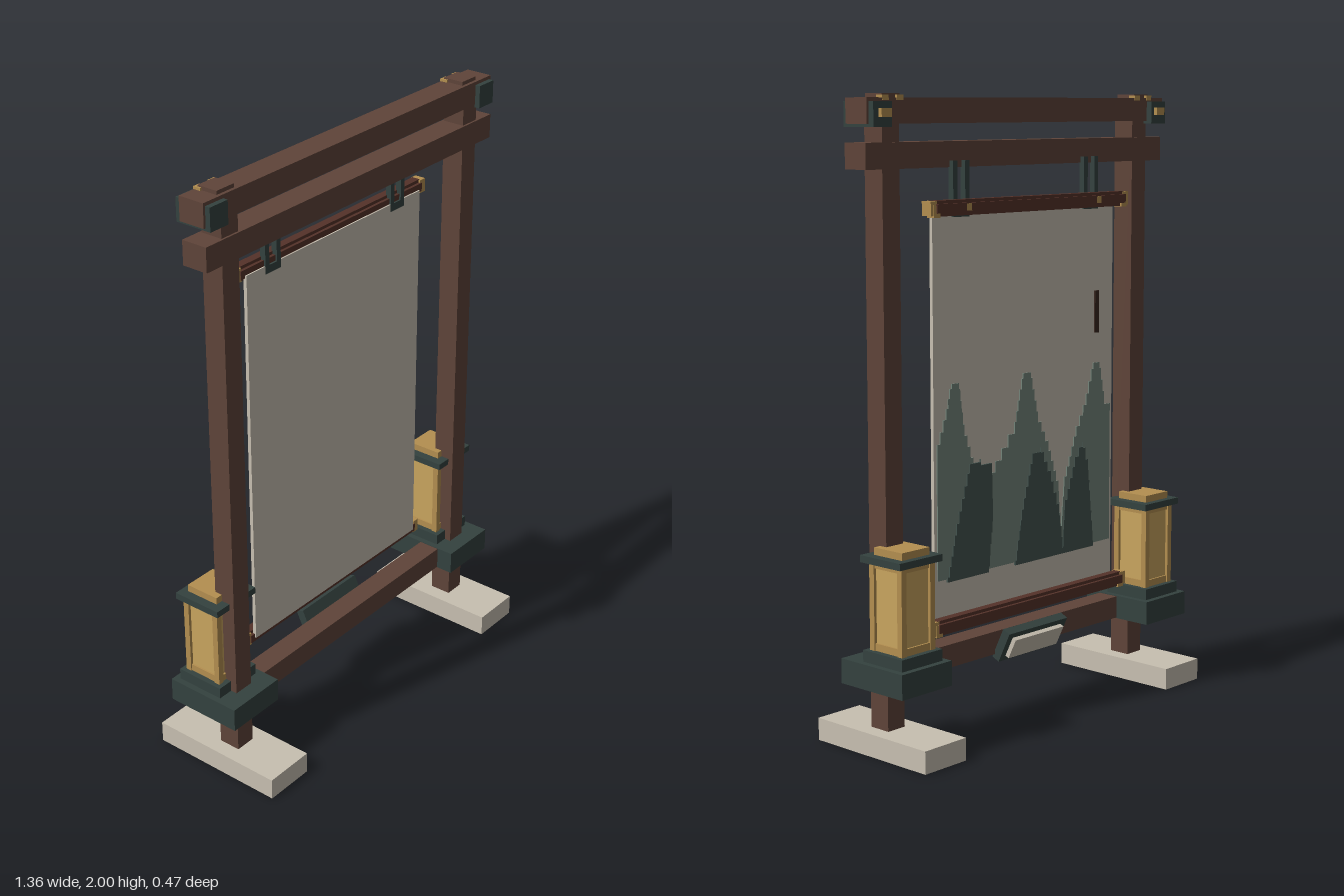
import * as THREE from 'three';

const mat = (name, color) => {
  const m = new THREE.MeshStandardMaterial({ color });
  m.name = name;
  return m;
};

export function createModel() {
  const root = new THREE.Group();
  root.name = 'hangingScrollFrame';

  const wood = mat('brown wood', 0x5f4439);
  const rollerWood = mat('dark red wood', 0x553229);
  const iron = mat('dark iron', 0x34423f);
  const brass = mat('brass', 0xb48f50);
  const glow = mat('lantern pane', 0xc9a55f);
  const paper = mat('paper and stone', 0xc8c0b1);
  const hill = mat('pale hill ink', 0x74857b);
  const darkHill = mat('dark hill ink', 0x43534f);
  const ink = mat('dark ink', 0x38261f);

  // Box given by its extents on each axis
  const box = (name, m, x0, x1, y0, y1, z0, z1, parent = root) => {
    const mesh = new THREE.Mesh(new THREE.BoxGeometry(x1 - x0, y1 - y0, z1 - z0), m);
    mesh.position.set((x0 + x1) / 2, (y0 + y1) / 2, (z0 + z1) / 2);
    mesh.name = name;
    parent.add(mesh);
    return mesh;
  };
  // Box centred on cx with half width hx, for mirrored parts
  const cbox = (name, m, cx, hx, y0, y1, z0, z1, parent = root) =>
    box(name, m, cx - hx, cx + hx, y0, y1, z0, z1, parent);

  // Beams
  cbox('topBeam', wood, 0, 0.682, 1.912, 1.988, -0.038, 0.052);
  cbox('lowerBeam', wood, 0, 0.682, 1.78, 1.858, -0.032, 0.057);
  cbox('bottomRail', wood, 0, 0.56, 0.218, 0.293, -0.03, 0.045);

  // Lantern with corner posts, rails and inset panes
  const lantern = (cx) => {
    const g = new THREE.Group();
    g.name = 'lantern';
    g.position.set(cx, 0, -0.058);
    cbox('lanternFoot', iron, 0, 0.085, 0.293, 0.332, -0.085, 0.085, g);
    cbox('lanternPanes', glow, 0, 0.06, 0.332, 0.605, -0.06, 0.06, g);
    for (const sx of [-1, 1]) for (const sz of [-1, 1]) {
      const px = sx * 0.06, pz = sz * 0.06;
      cbox('lanternPost', brass, px, 0.01, 0.332, 0.605, pz - 0.01, pz + 0.01, g);
    }
    for (const [y0, y1] of [[0.332, 0.355], [0.588, 0.605]]) {
      cbox('lanternRim', brass, 0, 0.066, y0, y1, -0.066, 0.066, g);
    }
    cbox('lanternRoof', iron, 0, 0.089, 0.605, 0.627, -0.083, 0.09, g);
    cbox('lanternCap', brass, 0, 0.058, 0.627, 0.65, -0.06, 0.06, g);
    root.add(g);
  };

  for (const s of [-1, 1]) {
    // Post, foot and base
    cbox('post', wood, s * 0.575, 0.035, 0.05, 1.95, -0.025, 0.05);
    cbox('foot', paper, s * 0.575, 0.087, 0, 0.072, -0.238, 0.236);
    cbox('base', iron, s * 0.577, 0.105, 0.216, 0.295, -0.163, 0.104);
    lantern(s * 0.577);

    // Joinery at the beam ends
    cbox('endBracket', iron, s * 0.637, 0.037, 1.903, 1.977, -0.058, 0.069);
    cbox('bracketPin', brass, s * 0.633, 0.02, 1.932, 1.957, -0.071, -0.05);
    cbox('postCap', wood, s * 0.578, 0.036, 1.98, 2.0, -0.03, 0.041);
    for (const o of [-0.03, 0.03]) {
      cbox('capPeg', brass, s * 0.578 + o, 0.013, 1.98, 1.996, -0.04, -0.014);
    }

    // U-shaped hanger with a brass pin
    const hx = s * 0.303;
    for (const o of [-0.026, 0.026]) {
      cbox('hangerArm', iron, hx + o, 0.009, 1.63, 1.80, -0.048, -0.028);
    }
    cbox('hangerHook', iron, hx, 0.035, 1.63, 1.655, -0.048, -0.028);
    cbox('hangerPin', brass, hx, 0.011, 1.65, 1.672, -0.083, -0.06);
  }

  // Rollers: stepped bars with brass ends
  const roller = (name, y, z) => {
    cbox(name, rollerWood, 0, 0.44, y - 0.014, y + 0.014, z - 0.024, z + 0.024);
    cbox(name, rollerWood, 0, 0.44, y - 0.024, y + 0.024, z - 0.014, z + 0.014);
    for (const s of [-1, 1]) {
      cbox(name + 'End', brass, s * 0.448, 0.013, y - 0.021, y + 0.023, z - 0.017, z + 0.021);
      cbox(name + 'Tip', brass, s * 0.436, 0.013, y - 0.027, y + 0.012, z - 0.019, z + 0.012);
    }
  };
  roller('topRoller', 1.66, -0.058);
  roller('bottomRoller', 0.37, -0.058);

  // Scroll sheet
  cbox('scroll', paper, 0, 0.422, 0.37, 1.655, -0.041, -0.029);

  // Hills painted on the back, as thin stepped plates
  const plate = (name, m, pts, z0, depth) => {
    const outline = [];
    pts.forEach(([x, y], i) => {
      outline.push(new THREE.Vector2(x, y));
      const next = pts[i + 1];
      if (!next) return;
      const n = Math.max(1, Math.round(Math.abs(next[1] - y) / 0.035));
      for (let k = 0; k < n; k++) {
        const yk = y + (next[1] - y) * (k + 0.5) / n;
        for (const t of [k / n, (k + 1) / n]) {
          outline.push(new THREE.Vector2(x + (next[0] - x) * t, yk));
        }
      }
    });
    const geo = new THREE.ExtrudeGeometry(new THREE.Shape(outline), { depth, bevelEnabled: false });
    const mesh = new THREE.Mesh(geo, m);
    mesh.position.z = z0;
    mesh.name = name;
    root.add(mesh);
  };
  const hills = [
    [[0.41, 0.51], [0.41, 0.92], [0.37, 1.03], [0.345, 1.12], [0.315, 1.12], [0.29, 0.97], [0.25, 0.86], [0.21, 0.72], [0.17, 0.51]],
    [[0.2, 0.51], [0.18, 0.8], [0.12, 0.87], [0.06, 0.95], [0.02, 1.12], [-0.015, 1.12], [-0.05, 0.97], [-0.1, 0.87], [-0.15, 0.73], [-0.17, 0.51]],
    [[-0.16, 0.51], [-0.18, 0.74], [-0.24, 0.9], [-0.29, 1.0], [-0.325, 1.12], [-0.355, 1.12], [-0.38, 1.0], [-0.41, 0.95], [-0.41, 0.51]],
  ];
  hills.forEach((pts) => plate('paleHill', hill, pts, -0.045, 0.006));
  const darkHills = [
    [[0.37, 0.5], [0.33, 0.66], [0.27, 0.85], [0.22, 0.87], [0.17, 0.83], [0.165, 0.68], [0.185, 0.5]],
    [[0.06, 0.5], [0.03, 0.66], [-0.02, 0.84], [-0.06, 0.87], [-0.11, 0.77], [-0.15, 0.65], [-0.175, 0.5]],
    [[-0.17, 0.5], [-0.18, 0.66], [-0.23, 0.8], [-0.27, 0.86], [-0.295, 0.78], [-0.31, 0.64], [-0.325, 0.5]],
  ];
  darkHills.forEach((pts) => plate('darkHill', darkHill, pts, -0.048, 0.008));
  cbox('inkStroke', ink, -0.34, 0.01, 1.22, 1.36, -0.046, -0.04);

  // Tilted plaque on the back of the bottom rail
  const plaque = new THREE.Group();
  plaque.name = 'plaque';
  plaque.position.set(0, 0.252, -0.057);
  plaque.rotation.x = -0.45;
  cbox('plaqueFrame', iron, 0, 0.14, -0.055, 0.055, -0.015, 0.015, plaque);
  cbox('plaquePanel', paper, 0, 0.116, -0.036, 0.036, -0.03, -0.01, plaque);
  root.add(plaque);

  return root;
}
